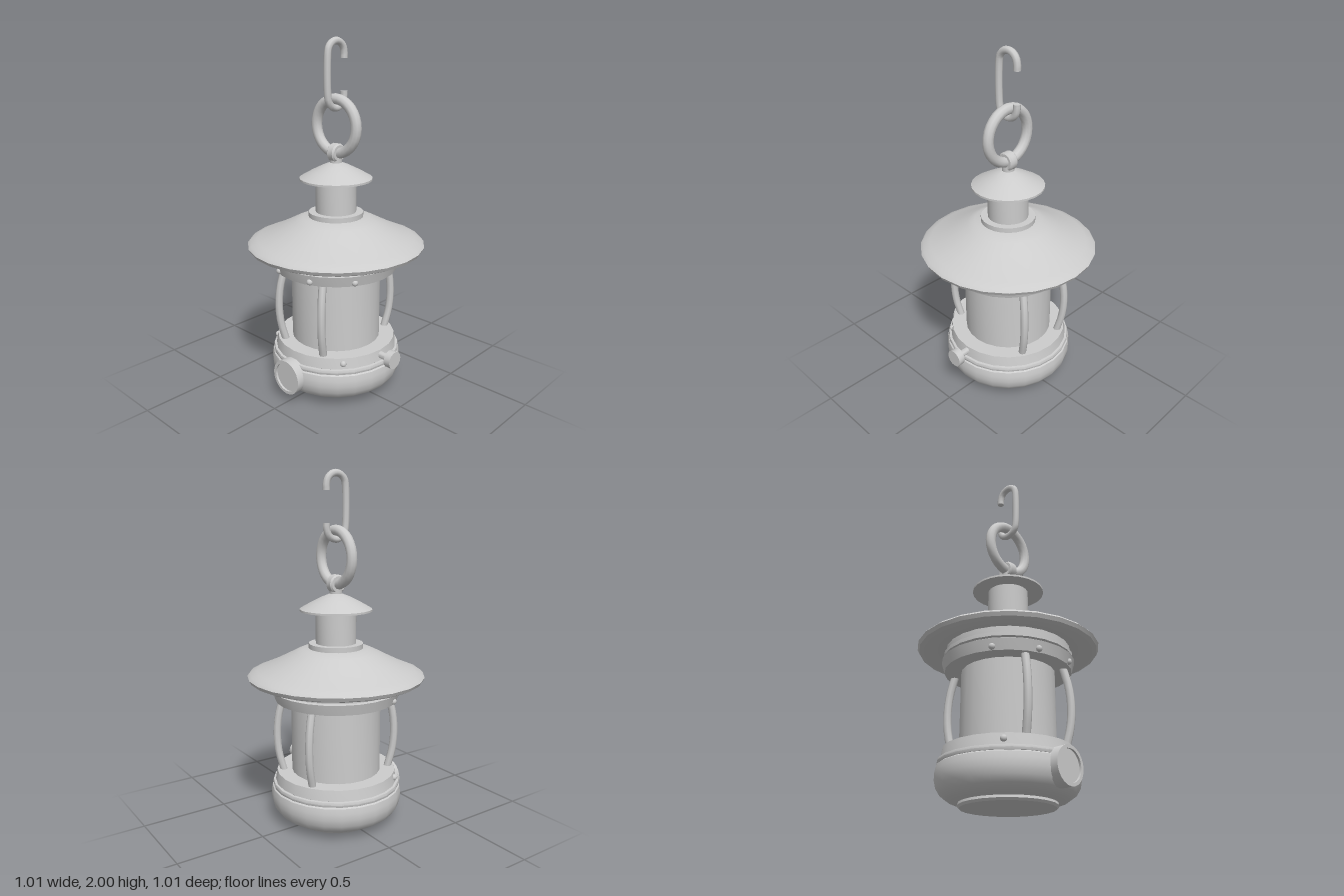
import * as THREE from 'three';
import { toCreasedNormals } from 'three/addons/utils/BufferGeometryUtils.js';

const metal = new THREE.MeshStandardMaterial({ color: 0xcccccc });
metal.name = 'greyMetal';

export function createModel() {
  const lantern = new THREE.Group();
  lantern.name = 'lantern';

  const add = (name, geometry, parent = lantern) => {
    const mesh = new THREE.Mesh(geometry, metal);
    mesh.name = name;
    parent.add(mesh);
    return mesh;
  };
  // Turned part from [radius, height] points, listed from bottom to top
  const turned = (name, points, sides = 24, parent = lantern) => {
    const profile = points.map(([r, y]) => new THREE.Vector2(r, y));
    return add(name, toCreasedNormals(new THREE.LatheGeometry(profile, sides), 0.6), parent);
  };
  // Bent rod with closed ends
  const rod = (name, curve, steps, radius, sides) => {
    const group = new THREE.Group();
    group.name = name;
    lantern.add(group);
    add(name + 'Bar', new THREE.TubeGeometry(curve, steps, radius, sides), group);
    for (const t of [0, 1]) {
      const cap = add(name + 'End', new THREE.CircleGeometry(radius, sides), group);
      cap.position.copy(curve.getPointAt(t));
      const out = curve.getTangentAt(t).multiplyScalar(t ? 1 : -1);
      cap.quaternion.setFromUnitVectors(new THREE.Vector3(0, 0, 1), out);
    }
  };

  // Fuel tank and its foot
  turned('foot', [[0, 0], [0.25, 0], [0.26, 0.012], [0.255, 0.035], [0, 0.035]]);
  turned('tank', [[0, 0.025], [0.26, 0.025], [0.31, 0.037], [0.35, 0.065], [0.372, 0.1],
    [0.381, 0.14], [0.381, 0.175], [0.375, 0.205], [0.36, 0.215], [0, 0.215]]);
  turned('tankSeam', [[0.34, 0.21], [0.368, 0.212], [0.372, 0.225], [0.368, 0.238], [0.34, 0.242]]);
  turned('lowerBand', [[0.345, 0.23], [0.355, 0.24], [0.345, 0.3], [0, 0.3]]);

  // Lamp cylinder and upper band
  turned('lampCylinder', [[0.258, 0.29], [0.258, 0.76]]);
  turned('upperBand', [[0, 0.725], [0.35, 0.725], [0.367, 0.785], [0.345, 0.788], [0, 0.788]]);
  turned('upperNeck', [[0.345, 0.78], [0.345, 0.797], [0.358, 0.802], [0.358, 0.822], [0.345, 0.828], [0.345, 0.88]]);

  // Roof, chimney and cap
  turned('roof', [[0, 0.86], [0.345, 0.86], [0.45, 0.845], [0.475, 0.835], [0.495, 0.845], [0.505, 0.865],
    [0.49, 0.88], [0.45, 0.896], [0.38, 0.926], [0.3, 0.966], [0.235, 1.0], [0.19, 1.02], [0, 1.02]]);
  turned('chimneyCollar', [[0.155, 1.01], [0.155, 1.048], [0, 1.048]]);
  turned('chimney', [[0.115, 1.04], [0.115, 1.24]]);
  turned('chimneyCap', [[0, 1.232], [0.205, 1.232], [0.205, 1.243], [0.14, 1.28],
    [0.08, 1.31], [0.035, 1.328], [0, 1.332]]);
  turned('capStem', [[0.035, 1.32], [0.035, 1.365], [0, 1.365]], 12);

  // Bowed guard rods at four corners
  for (const degrees of [60, 120, 240, 300]) {
    const a = THREE.MathUtils.degToRad(degrees);
    const points = [[0.305, 0.29], [0.333, 0.4], [0.342, 0.51], [0.333, 0.62], [0.305, 0.735]]
      .map(([r, y]) => new THREE.Vector3(r * Math.cos(a), y, r * Math.sin(a)));
    rod('guardRod', new THREE.CatmullRomCurve3(points), 10, 0.022, 8);
  }

  // Rivets on the front of both bands
  const rivets = [[30, 0.745, 0.352], [70, 0.745, 0.352], [110, 0.745, 0.352], [150, 0.745, 0.352],
    [40, 0.27, 0.347], [140, 0.27, 0.347]];
  for (const [degrees, y, r] of rivets) {
    const a = THREE.MathUtils.degToRad(degrees);
    add('rivet', new THREE.SphereGeometry(0.018, 10, 8)).position.set(r * Math.cos(a), y, r * Math.sin(a));
  }

  // Filler cap on the front, with a recessed face
  const filler = turned('fillerCap', [[0.1, 0], [0.1, 0.11], [0.083, 0.11], [0.083, 0.098], [0, 0.098]]);
  filler.rotation.x = Math.PI / 2;
  filler.position.set(0, 0.157, 0.3);

  // Wick knob on the left side
  const knob = turned('wickKnob', [[0.02, 0], [0.02, 0.08], [0.05, 0.08], [0.05, 0.12], [0, 0.12]], 16);
  knob.rotation.z = -Math.PI / 2;
  knob.position.set(0.33, 0.27, 0);

  // Eyelet and carrying ring
  const eyelet = turned('eyelet', [[0.02, -0.027], [0.045, -0.027], [0.053, -0.018], [0.053, 0.018],
    [0.045, 0.027], [0.02, 0.027], [0.02, -0.027]], 16);
  eyelet.rotation.z = Math.PI / 2;
  eyelet.position.y = 1.382;
  add('carryingRing', new THREE.TorusGeometry(0.148, 0.03, 10, 32)).position.y = 1.528;

  // Hanging hook: a long bar with a bend at each end
  const hook = [new THREE.Vector3(0, 1.715, -0.063)];
  for (let i = 0; i <= 6; i++) {
    const a = Math.PI * (1 + i / 6);
    hook.push(new THREE.Vector3(0, 1.69 + 0.063 * Math.sin(a), 0.063 * Math.cos(a)));
  }
  for (let i = 0; i <= 6; i++) {
    const a = Math.PI * i / 6;
    hook.push(new THREE.Vector3(0, 1.917 + 0.063 * Math.sin(a), 0.063 * Math.cos(a)));
  }
  hook.push(new THREE.Vector3(0, 1.888, -0.063));
  rod('hook', new THREE.CatmullRomCurve3(hook), 48, 0.02, 8);

  return lantern;
}
